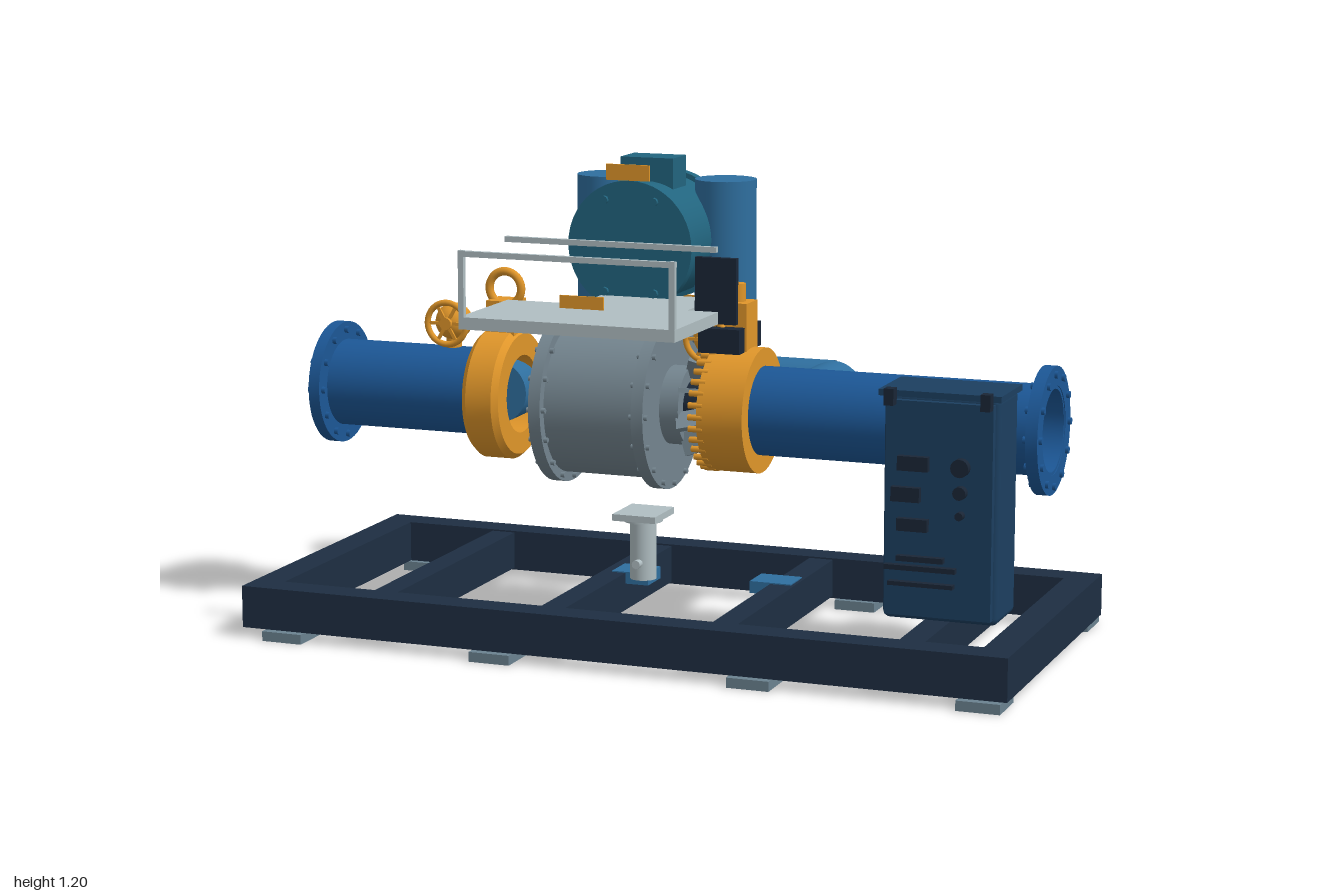
import * as THREE from 'three';
import { toCreasedNormals } from 'three/addons/utils/BufferGeometryUtils.js';
import { RoundedBoxGeometry } from 'three/addons/geometries/RoundedBoxGeometry.js';

const mat = (color) => new THREE.MeshStandardMaterial({ color, side: THREE.DoubleSide });
const M = {
  frame: mat(0x1e2e42), foot: mat(0x6b8290), pipe: mat(0x1c5796), branch: mat(0x2f6f9f),
  motor: mat(0x22657f), orange: mat(0xe0962a), grey: mat(0x74858f), light: mat(0xb0bec2),
  cabinet: mat(0x1c3f60), dark: mat(0x1a2636),
};
const AXIS_Y = 0.587; // height of the main pipe axis

export function createModel() {
  const root = new THREE.Group();
  root.name = 'pumpSkid';

  const add = (name, geo, m, x = 0, y = 0, z = 0, parent = root) => {
    const mesh = new THREE.Mesh(geo, m);
    mesh.name = name;
    mesh.position.set(x, y, z);
    parent.add(mesh);
    return mesh;
  };
  // Box given by its extents
  const box = (name, m, x0, x1, y0, y1, z0, z1) =>
    add(name, new THREE.BoxGeometry(x1 - x0, y1 - y0, z1 - z0), m, (x0 + x1) / 2, (y0 + y1) / 2, (z0 + z1) / 2);
  // Cylinder between two points
  const rod = (name, m, r, a, b, open = false, seg = 32) => {
    const p = new THREE.Vector3(...a), q = new THREE.Vector3(...b);
    const mesh = add(name, new THREE.CylinderGeometry(r, r, p.distanceTo(q), seg, 1, open), m);
    mesh.position.copy(p).add(q).multiplyScalar(0.5);
    mesh.quaternion.setFromUnitVectors(new THREE.Vector3(0, 1, 0), q.sub(p).normalize());
    return mesh;
  };
  // Closed profile of [radius, x] points turned about the main pipe axis
  const turned = (name, m, pts) => {
    const prof = [...pts, pts[0]].map(([r, x]) => new THREE.Vector2(r, x));
    const geo = toCreasedNormals(new THREE.LatheGeometry(prof, 48), 0.6);
    const mesh = add(name, geo, m, 0, AXIS_Y, 0);
    mesh.rotation.z = -Math.PI / 2;
    return mesh;
  };
  const ring = (name, m, x0, x1, rIn, rOut) =>
    turned(name, m, [[rIn, x0], [rOut, x0], [rOut, x1], [rIn, x1]]);
  // Bolt circle about the main pipe axis
  const bolts = (name, m, n, radius, r, x0, x1) => {
    for (let i = 0; i < n; i++) {
      const a = (i / n) * Math.PI * 2;
      const y = AXIS_Y + radius * Math.cos(a), z = radius * Math.sin(a);
      rod(name, m, r, [x0, y, z], [x1, y, z], false, 8);
    }
  };

  // Base frame with cross members and feet
  for (const s of [-1, 1]) {
    box('sideRail', M.frame, -1, 1, 0.025, 0.132, s * 0.4125 - 0.04, s * 0.4125 + 0.04);
    box('endRail', M.frame, s * 0.96 - 0.04, s * 0.96 + 0.04, 0.025, 0.132, -0.375, 0.375);
    for (const x of [-0.88, -0.31, 0.365, 0.935])
      box('foot', M.foot, x - 0.054, x + 0.054, 0, 0.025, s * 0.415 - 0.059, s * 0.415 + 0.059);
  }
  for (const x of [-0.642, -0.185, 0.267, 0.74])
    box('crossMember', M.frame, x - 0.032, x + 0.032, 0.03, 0.128, -0.375, 0.375);
  box('floorPad', M.branch, 0.18, 0.29, 0.1, 0.131, -0.15, -0.06);
  box('floorPad', M.branch, -0.19, -0.09, 0.1, 0.131, -0.13, -0.04);

  // Main pipes with bolted end flanges
  ring('inletPipe', M.pipe, -0.95, -0.5, 0.102, 0.112);
  ring('inletFlange', M.pipe, -0.952, -0.922, 0.11, 0.158);
  bolts('inletBolt', M.pipe, 12, 0.138, 0.009, -0.96, -0.912);
  ring('outletPipe', M.pipe, 0.22, 0.98, 0.102, 0.112);
  ring('outletFlange', M.pipe, 0.952, 0.982, 0.11, 0.158);
  bolts('outletBolt', M.pipe, 12, 0.138, 0.009, 0.942, 0.99);

  // Orange couplings
  turned('inletCoupling', M.orange, [[0.1, -0.52], [0.155, -0.52], [0.168, -0.505], [0.168, -0.435], [0.155, -0.42], [0.1, -0.42]]);
  ring('outletCoupling', M.orange, 0.115, 0.235, 0.105, 0.158);
  bolts('couplingTooth', M.orange, 32, 0.152, 0.008, 0.092, 0.13);

  // Pump casing with hub and guide vanes
  ring('casingBody', M.grey, -0.3, -0.01, 0.0, 0.19);
  ring('casingFlange', M.grey, -0.312, -0.28, 0.0, 0.215);
  ring('casingFlange', M.grey, -0.036, -0.005, 0.0, 0.215);
  bolts('casingBolt', M.grey, 16, 0.202, 0.007, -0.045, 0.004);
  bolts('casingBolt', M.grey, 16, 0.202, 0.007, -0.32, -0.27);
  ring('hubPlate', M.grey, -0.01, 0.045, 0.0, 0.1);
  ring('hubRing', M.dark, 0.045, 0.075, 0.043, 0.064);
  for (let i = 0; i < 8; i++) {
    const vane = new THREE.Group();
    vane.name = 'guideVane';
    vane.position.set(0.075, AXIS_Y, 0);
    vane.rotation.x = (i / 8) * Math.PI * 2 + 0.2;
    add('vaneBlade', new THREE.BoxGeometry(0.07, 0.06, 0.012), M.grey, 0, 0.095, 0, vane).rotation.set(0.4, 0, -0.35);
    root.add(vane);
  }

  // Branch pipes rising behind the pump
  for (const [xSide, xUp] of [[0.315, 0.018], [-0.49, -0.31]]) {
    rod('branchArm', M.branch, 0.08, [xSide, AXIS_Y, 0], [xSide, AXIS_Y, -0.318]);
    rod('branchCross', M.branch, 0.08, [xSide, AXIS_Y, -0.318], [xUp, AXIS_Y, -0.318], true);
    rod('branchRiser', M.branch, 0.08, [xUp, AXIS_Y, -0.318], [xUp, 1.125, -0.318]);
  }

  // Motor with end flanges, bolts, terminal box and mount
  const mx = -0.147, my = 0.973;
  rod('motorBody', M.motor, 0.155, [mx, my, -0.07], [mx, my, -0.355], false, 48);
  rod('motorFrontFlange', M.motor, 0.168, [mx, my, -0.06], [mx, my, -0.09], false, 48);
  rod('motorRearFlange', M.motor, 0.168, [mx, my, -0.335], [mx, my, -0.365], false, 48);
  for (let i = 0; i < 6; i++) {
    const x = mx + 0.135 * Math.cos(i * Math.PI / 3), y = my + 0.135 * Math.sin(i * Math.PI / 3);
    rod('motorBolt', M.motor, 0.011, [x, y, -0.05], [x, y, -0.07], false, 8);
    rod('motorBolt', M.motor, 0.011, [x, y, -0.355], [x, y, -0.373], false, 8);
  }
  box('terminalBox', M.motor, -0.217, -0.073, 1.08, 1.188, -0.27, -0.175);
  box('motorMount', M.motor, -0.28, -0.01, 0.78, 0.82, -0.178, -0.035);
  box('motorPlate', M.light, -0.225, 0.07, 0.83, 0.845, -0.115, 0.114);

  // Lifting eye on the inlet coupling
  box('eyeBase', M.orange, -0.502, -0.425, 0.74, 0.83, -0.04, 0.04);
  add('liftingEye', new THREE.TorusGeometry(0.044, 0.011, 10, 32), M.orange, -0.465, 0.858, 0);

  // Valves with handwheels
  for (const x of [-0.61, 0.1]) {
    add('valveBody', new THREE.SphereGeometry(0.048, 24, 16), M.orange, x, 0.765, 0);
    rod('valveStem', M.orange, 0.02, [x, 0.69, 0], [x, 0.765, 0], false, 16);
    rod('wheelHub', M.orange, 0.016, [x, 0.765, 0], [x, 0.765, 0.056], false, 16);
    add('wheelRim', new THREE.TorusGeometry(0.054, 0.008, 10, 32), M.orange, x, 0.765, 0.045);
    for (const a of [0, Math.PI / 3, -Math.PI / 3])
      add('wheelSpoke', new THREE.BoxGeometry(0.108, 0.008, 0.006), M.orange, x, 0.765, 0.045).rotation.z = a;
  }

  // Actuator and its panel on the outlet coupling
  box('actuatorBase', M.dark, 0.092, 0.2, 0.738, 0.8, -0.082, 0.082);
  box('actuatorBody', M.orange, 0.125, 0.205, 0.74, 0.86, -0.04, 0.04);
  rod('actuatorCap', M.orange, 0.022, [0.165, 0.86, 0], [0.165, 0.905, 0], false, 20);
  box('actuatorPanel', M.dark, 0.09, 0.198, 0.815, 0.98, 0.083, 0.1);

  // Service platform and handrail
  box('platform', M.light, -0.39, 0.172, 0.825, 0.855, 0.156, 0.453);
  for (const x of [-0.383, 0.164]) box('railPost', M.light, x - 0.007, x + 0.007, 0.855, 1.018, 0.439, 0.453);
  for (const z of [0.446, 0.165]) box('handRail', M.light, -0.39, 0.172, 1.003, 1.017, z - 0.007, z + 0.007);

  // Marker plates
  box('markerPlate', M.orange, -0.165, -0.05, 1.155, 1.195, 0.045, 0.051);
  box('markerPlate', M.orange, -0.217, -0.1, 0.853, 0.887, 0.227, 0.233);
  box('markerPlate', M.orange, -0.165, -0.05, 0.753, 0.798, -0.434, -0.428);

  // Support pedestal below the casing
  rod('pedestalColumn', M.light, 0.034, [-0.087, 0.13, 0], [-0.087, 0.295, 0]);
  box('pedestalPlate', M.light, -0.145, -0.029, 0.289, 0.306, -0.068, 0.068);
  rod('pedestalCollar', M.light, 0.05, [-0.087, 0.28, 0], [-0.087, 0.29, 0]);
  rod('pedestalPin', M.light, 0.011, [-0.087, 0.175, -0.053], [-0.087, 0.175, 0.053], false, 12);

  // Control cabinet with door, lid and controls
  add('cabinetBody', new RoundedBoxGeometry(0.285, 0.55, 0.163, 3, 0.018), M.cabinet, 0.797, 0.447, 0.254);
  box('cabinetDoor', M.cabinet, 0.667, 0.928, 0.187, 0.705, 0.33, 0.354);
  box('cabinetLid', M.cabinet, 0.645, 0.945, 0.712, 0.727, 0.165, 0.347);
  const controls = [ // x0, x1, y0, y1
    [0.7, 0.775, 0.54, 0.575], [0.685, 0.755, 0.465, 0.5], [0.7, 0.775, 0.395, 0.425],
    [0.67, 0.845, 0.3, 0.312], [0.7, 0.815, 0.322, 0.335], [0.68, 0.84, 0.262, 0.272],
  ];
  for (const [x0, x1, y0, y1] of controls) box('controlPanel', M.dark, x0, x1, y0, y1, 0.352, 0.372);
  for (const [y, r] of [[0.555, 0.022], [0.495, 0.016], [0.44, 0.01]])
    rod('controlKnob', M.dark, r, [0.853, y, 0.352], [0.853, y, 0.375], false, 16);
  for (const x of [0.68, 0.915]) box('doorLatch', M.dark, x - 0.012, x + 0.012, 0.695, 0.735, 0.352, 0.38);

  return root;
}
